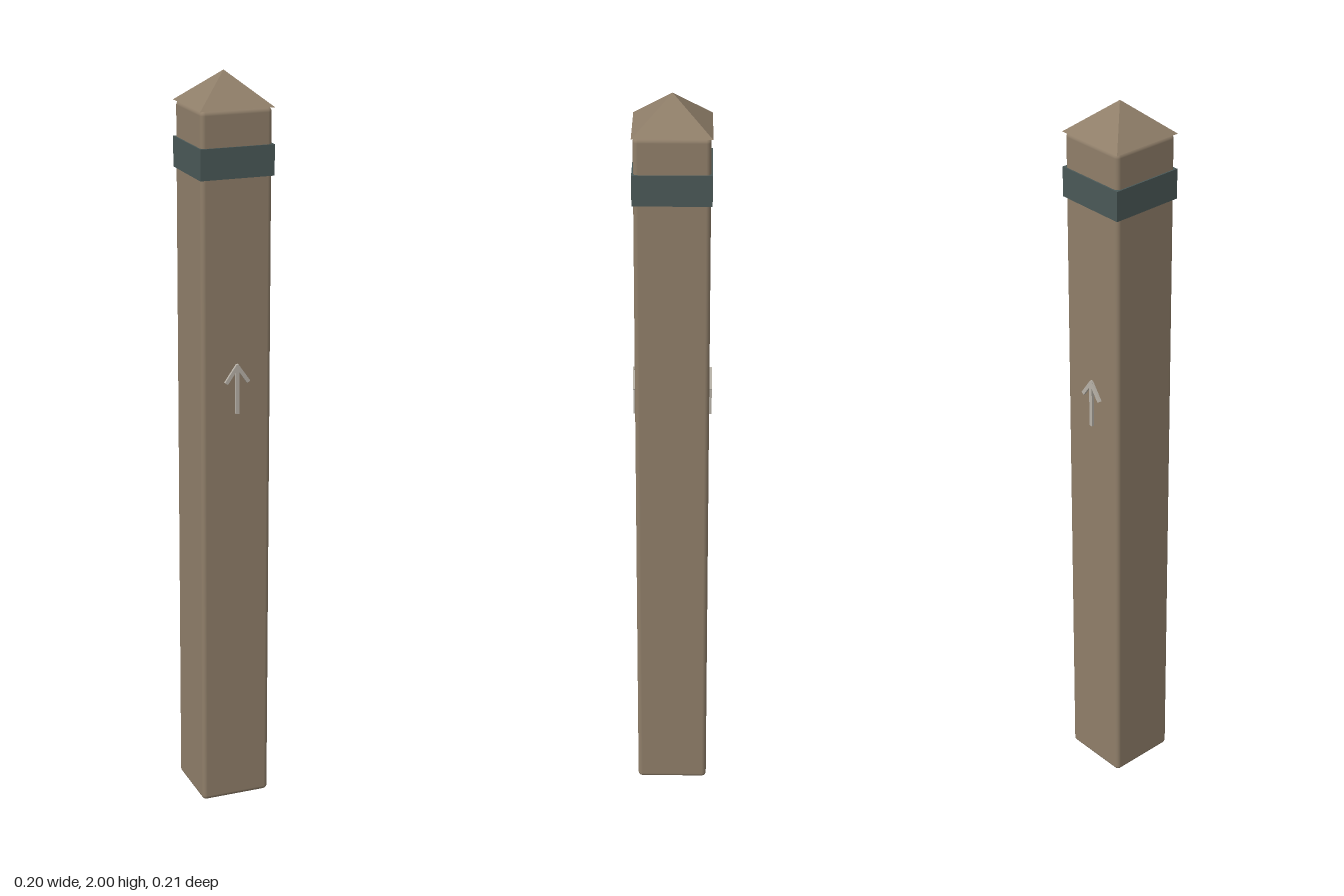
import * as THREE from 'three';
import { RoundedBoxGeometry } from 'three/addons/geometries/RoundedBoxGeometry.js';

const wood = new THREE.MeshStandardMaterial({ color: 0x8f7e69 });
const capWood = new THREE.MeshStandardMaterial({ color: 0x8f7e69, flatShading: true });
const metal = new THREE.MeshStandardMaterial({ color: 0x4a5857 });
const paint = new THREE.MeshStandardMaterial({ color: 0xb8b2a8 });

function addMesh(parent, name, geometry, material, x, y, z) {
  const mesh = new THREE.Mesh(geometry, material);
  mesh.name = name;
  mesh.position.set(x, y, z);
  parent.add(mesh);
  return mesh;
}

// Upward arrow: a stem and two slanted bars, slightly proud of the post face
function createArrow(name) {
  const arrow = new THREE.Group();
  arrow.name = name;
  const depth = 0.02, z = 0.093, stroke = 0.01;
  addMesh(arrow, 'arrowStem', new THREE.BoxGeometry(stroke, 0.125, depth), paint, 0, 1.183, z);
  for (const side of [-1, 1]) {
    const bar = addMesh(arrow, 'arrowHeadBar', new THREE.BoxGeometry(stroke, 0.058, depth), paint, side * 0.0145, 1.229, z);
    bar.rotation.z = side * 0.61;
  }
  return arrow;
}

export function createModel() {
  const model = new THREE.Group();
  model.name = 'markerPost';

  // Square post with softened edges
  addMesh(model, 'post', new RoundedBoxGeometry(0.192, 1.915, 0.192, 3, 0.012), wood, 0, 0.9575, 0);

  // Pyramid cap, turned so its sides line up with the post
  const cap = new THREE.ConeGeometry(0.1 * Math.SQRT2, 0.085, 4);
  cap.rotateY(Math.PI / 4);
  addMesh(model, 'cap', cap, capWood, 0, 1.9575, 0);

  // Metal band below the cap
  addMesh(model, 'band', new THREE.BoxGeometry(0.2, 0.08, 0.2), metal, 0, 1.782, 0);

  // Arrows on front and back
  const frontArrow = createArrow('frontArrow');
  const backArrow = createArrow('backArrow');
  backArrow.rotation.y = Math.PI;
  model.add(frontArrow, backArrow);

  return model;
}
